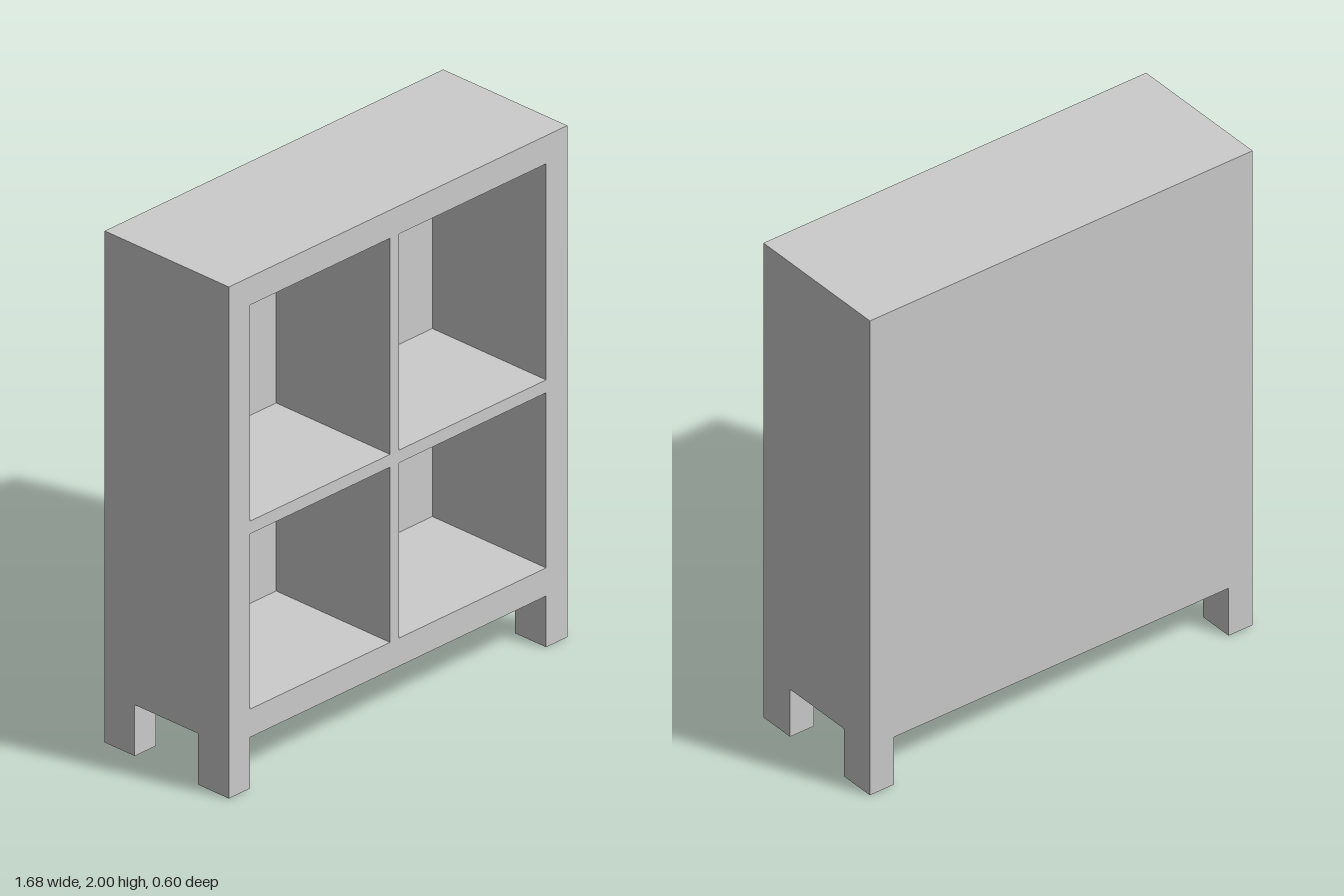
import * as THREE from 'three';

const W = 0.84, D = 0.3, BOTTOM = 0.2, TOP = 2, BACK = 0.05;

// Counter-clockwise rectangle corners
const rect = (x0, y0, x1, y1) => [
  new THREE.Vector2(x0, y0), new THREE.Vector2(x1, y0),
  new THREE.Vector2(x1, y1), new THREE.Vector2(x0, y1),
];

export function createModel() {
  const group = new THREE.Group();
  const material = new THREE.MeshStandardMaterial({ color: 0xcccccc });

  const add = (name, geometry, x, y, z) => {
    const mesh = new THREE.Mesh(geometry, material);
    mesh.name = name;
    mesh.position.set(x, y, z);
    group.add(mesh);
  };
  const addBox = (name, x0, x1, y0, y1, z0, z1) =>
    add(name, new THREE.BoxGeometry(x1 - x0, y1 - y0, z1 - z0),
      (x0 + x1) / 2, (y0 + y1) / 2, (z0 + z1) / 2);

  // Cabinet frame: outer block with four open compartments
  const outline = new THREE.Shape(rect(-W, BOTTOM, W, TOP));
  for (const [x0, x1] of [[-0.735, -0.04], [0.005, 0.735]]) {
    for (const [y0, y1] of [[0.31, 0.995], [1.045, 1.89]]) {
      outline.holes.push(new THREE.Path(rect(x0, y0, x1, y1)));
    }
  }
  add('shelfFrame',
    new THREE.ExtrudeGeometry(outline, { depth: 2 * D - BACK, bevelEnabled: false }),
    0, 0, -D + BACK);

  // Closed back
  addBox('backPanel', -W, W, BOTTOM, TOP, -D, -D + BACK);

  // Four square legs flush with the corners
  for (const [side, x0, x1] of [['Right', -W, -0.735], ['Left', 0.735, W]]) {
    addBox('front' + side + 'Leg', x0, x1, 0, BOTTOM, 0.15, D);
    addBox('back' + side + 'Leg', x0, x1, 0, BOTTOM, -D, -0.155);
  }
  return group;
}
